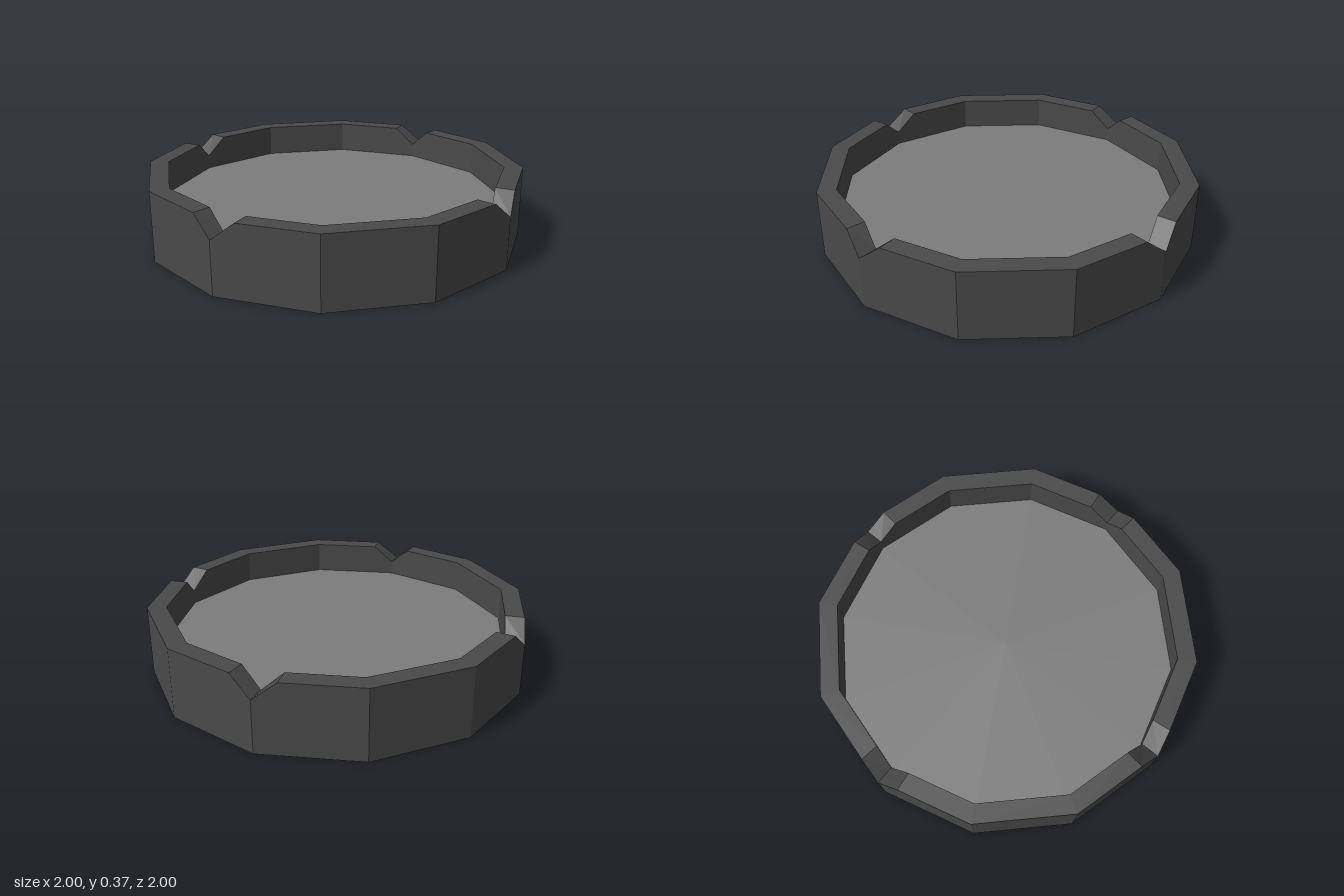
import * as THREE from 'three';

const SIDES = 12, INNER = 0.9, TOP = 0.37, NOTCH = 0.275, FLOOR = 0.2, SPREAD = 0.236;

const corner = (i) => {
  const a = (i / SIDES) * Math.PI * 2;
  return new THREE.Vector2(Math.sin(a), Math.cos(a));
};

// Rim outline: twelve corners, every third one dipped into a V notch
function rimOutline() {
  const points = [];
  for (let i = 0; i < SIDES; i++) {
    const p = corner(i);
    if (i % 3) {
      points.push({ p, y: TOP });
    } else {
      points.push({ p: p.clone().lerp(corner(i - 1), SPREAD), y: TOP });
      points.push({ p, y: NOTCH });
      points.push({ p: p.clone().lerp(corner(i + 1), SPREAD), y: TOP });
    }
  }
  return points;
}

// Walls: sweep outer wall, rim top and inner wall around the outline
function wallGeometry() {
  const outline = rimOutline();
  const section = ({ p, y }) => [[1, 0], [1, y], [INNER, y], [INNER, FLOOR]]
    .map(([s, h]) => [p.x * s, h, p.y * s]);
  const positions = [];
  outline.forEach((point, i) => {
    const a = section(point);
    const b = section(outline[(i + 1) % outline.length]);
    for (let k = 0; k < 3; k++) {
      positions.push(...a[k], ...b[k], ...b[k + 1], ...a[k], ...b[k + 1], ...a[k + 1]);
    }
  });
  const geometry = new THREE.BufferGeometry();
  geometry.setAttribute('position', new THREE.Float32BufferAttribute(positions, 3));
  geometry.computeVertexNormals();
  return geometry;
}

export function createModel() {
  const group = new THREE.Group();
  group.name = 'notchedDish';
  const dark = new THREE.MeshStandardMaterial({ color: 0x4a4a4a, flatShading: true });
  const light = new THREE.MeshStandardMaterial({ color: 0x7c7c7c, flatShading: true });
  const add = (name, geometry, material) => {
    const mesh = new THREE.Mesh(geometry, material);
    mesh.name = name;
    group.add(mesh);
  };

  add('notchedWall', wallGeometry(), dark);
  // Underside and the lighter inside floor
  add('underside', new THREE.CircleGeometry(1, SIDES).rotateX(Math.PI / 2), dark);
  add('dishFloor', new THREE.CircleGeometry(INNER, SIDES).rotateX(-Math.PI / 2).translate(0, FLOOR, 0), light);
  return group;
}
